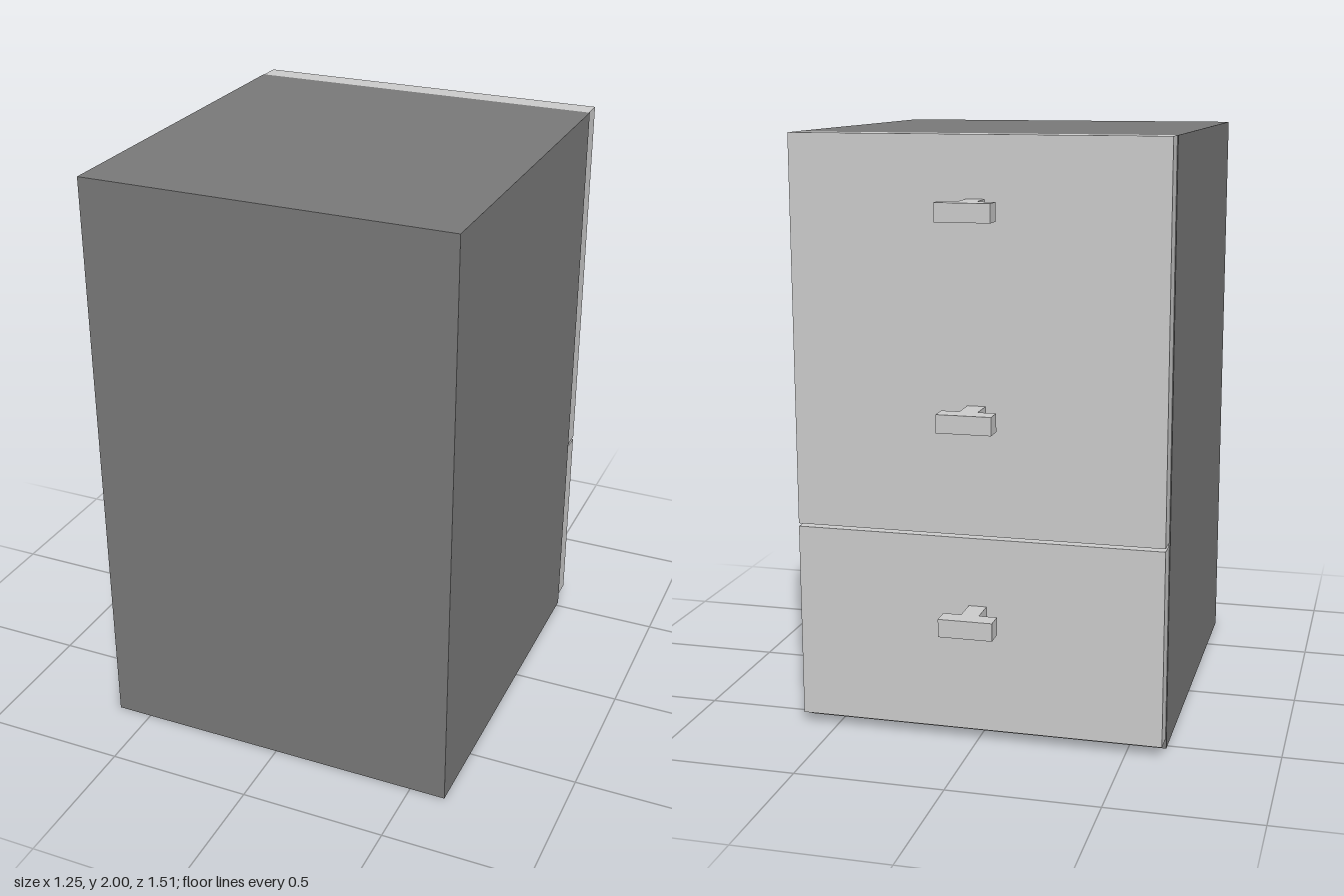
import * as THREE from 'three';

export function createModel() {
  const group = new THREE.Group();
  group.name = 'drawerCabinet';
  const dark = new THREE.MeshStandardMaterial({ color: 0x797979 });
  const light = new THREE.MeshStandardMaterial({ color: 0xcccccc });

  // Box given by its lower and upper corners
  function box(name, material, [x0, y0, z0], [x1, y1, z1]) {
    const mesh = new THREE.Mesh(new THREE.BoxGeometry(x1 - x0, y1 - y0, z1 - z0), material);
    mesh.position.set((x0 + x1) / 2, (y0 + y1) / 2, (z0 + z1) / 2);
    mesh.name = name;
    group.add(mesh);
  }

  // Cabinet body
  box('cabinetBody', dark, [-0.623, 0, -0.523], [0.623, 2, 0.753]);

  // Drawer fronts, separated by a narrow gap
  box('lowerDrawerFront', light, [-0.62, 0.035, -0.598], [0.62, 0.698, -0.523]);
  box('upperDrawerFront', light, [-0.62, 0.708, -0.598], [0.62, 2, -0.523]);

  // T-shaped handles: outline drawn in plan, extruded upwards
  const outline = new THREE.Shape([
    [-0.03, 0.598], [0.03, 0.598], [0.03, 0.69], [0.09, 0.69],
    [0.09, 0.753], [-0.09, 0.753], [-0.09, 0.69], [-0.03, 0.69],
  ].map(([x, y]) => new THREE.Vector2(x, y)));
  const handleGeometry = new THREE.ExtrudeGeometry(outline, { depth: 0.06, bevelEnabled: false });
  handleGeometry.rotateX(-Math.PI / 2);
  ['lowerHandle', 'middleHandle', 'upperHandle'].forEach((name, i) => {
    const handle = new THREE.Mesh(handleGeometry, light);
    handle.name = name;
    handle.position.y = [0.407, 1.08, 1.74][i];
    group.add(handle);
  });

  return group;
}
